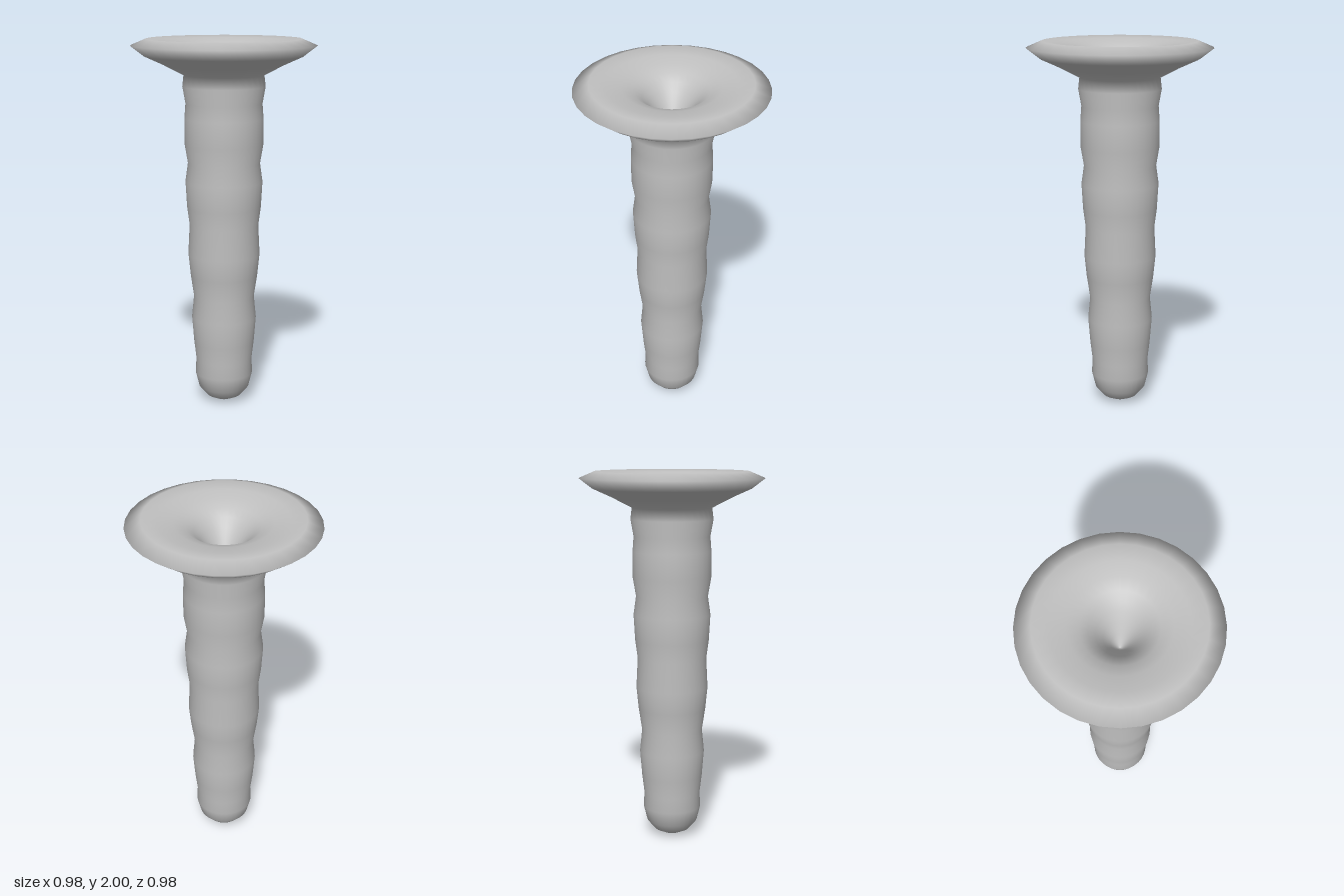
import * as THREE from 'three';

export function createModel() {
  const group = new THREE.Group();
  group.name = 'flaredPeg';
  const grey = new THREE.MeshStandardMaterial({ color: 0xc0c0c0 });
  grey.name = 'plainGrey';

  // [radius, height]: rounded tip and gently ribbed, tapering shaft
  const shaft = [
    [0, 0], [0.04, 0.004], [0.095, 0.03], [0.138, 0.08], [0.158, 0.16], [0.154, 0.24],
    [0.166, 0.34], [0.177, 0.48], [0.165, 0.6], [0.183, 0.72], [0.195, 0.84], [0.187, 1.0],
    [0.2, 1.1], [0.208, 1.24], [0.194, 1.34], [0.211, 1.44], [0.211, 1.58], [0.205, 1.66],
    [0.221, 1.75], [0.214, 1.81],
  ];
  // Flared underside and rim
  const flare = [[0.32, 1.865], [0.42, 1.91], [0.492, 1.965], [0.41, 2]];
  // Trumpet-shaped hollow sinking to a point
  const hollow = [
    [0.33, 1.99], [0.25, 1.977], [0.19, 1.955], [0.15, 1.925], [0.115, 1.885],
    [0.08, 1.835], [0.045, 1.775], [0.012, 1.715], [0, 1.71],
  ];

  const profile = [...shaft, ...flare, ...hollow].map(([r, y]) => new THREE.Vector2(r, y));
  const body = new THREE.Mesh(new THREE.LatheGeometry(profile, 32), grey);
  body.name = 'ribbedShaftWithFlaredRim';
  group.add(body);
  return group;
}
